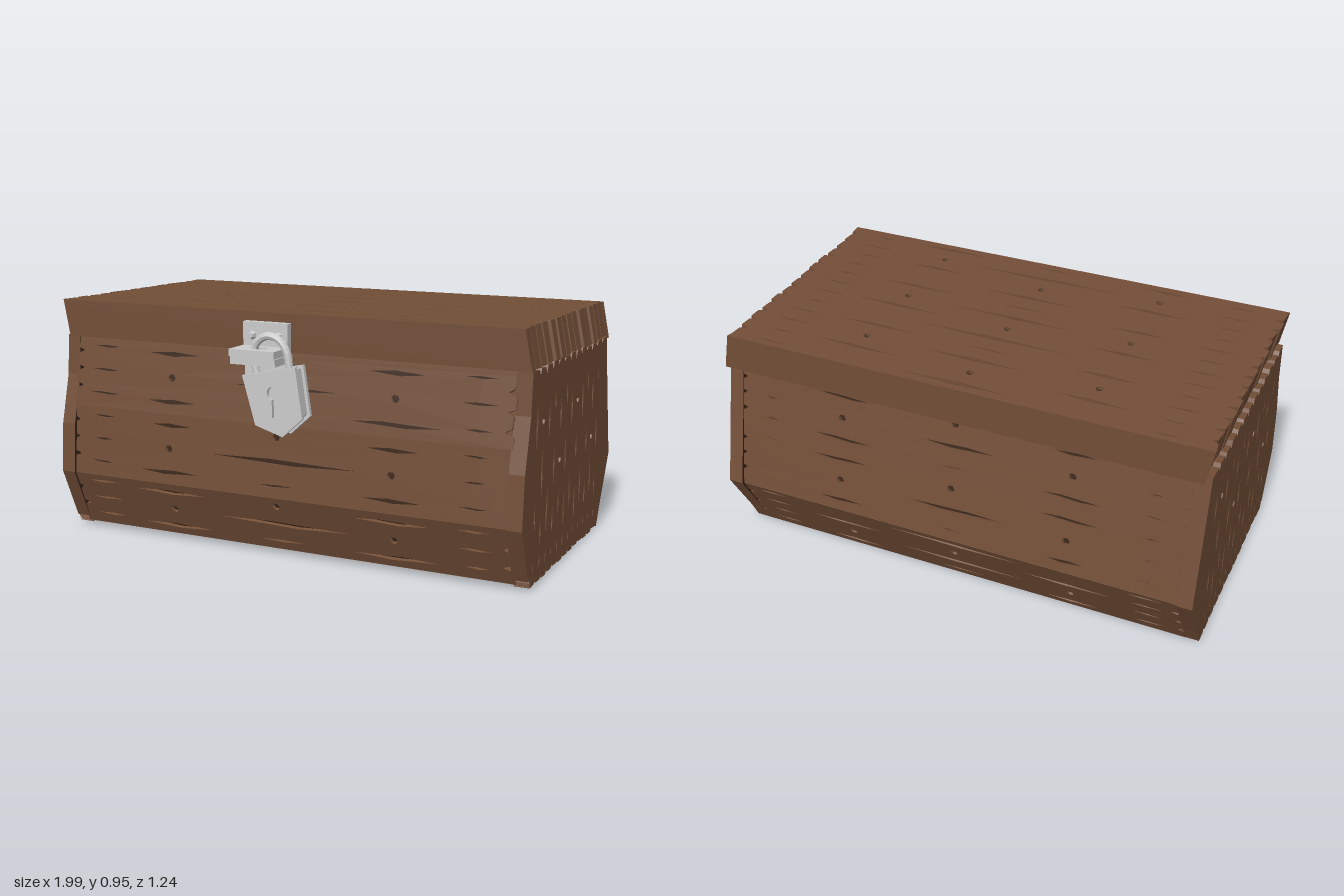
import * as THREE from 'three';

const wood = new THREE.MeshStandardMaterial({ color: 0x724e37, flatShading: true });
const gouge = new THREE.MeshStandardMaterial({ color: 0x3a2619, flatShading: true });
const metal = new THREE.MeshStandardMaterial({ color: 0xcccccc, flatShading: true });
const V = (x, y, z) => new THREE.Vector3(x, y, z);

// Small seeded generator for the worn wood
let seed = 7;
const rnd = () => (seed = (seed * 16807) % 2147483647) / 2147483647;

function extrude(shape, depth, z = 0) {
  const geo = new THREE.ExtrudeGeometry(shape, { depth, bevelEnabled: false, curveSegments: 8 });
  return geo.translate(0, 0, z);
}

function addMesh(parent, name, geo, mat) {
  const mesh = new THREE.Mesh(geo, mat);
  mesh.name = name;
  parent.add(mesh);
  return mesh;
}

// Ragged edge from a to b; the inside of the outline lies to the left
function ragged(a, b, teeth, depth) {
  const dir = b.clone().sub(a);
  const inward = new THREE.Vector2(-dir.y, dir.x).normalize();
  const at = (t, d) => a.clone().addScaledVector(dir, t).addScaledVector(inward, d);
  const pts = [];
  for (let i = 0; i < teeth; i++) {
    const t0 = i / teeth, w = 1 / teeth, lift = rnd() * depth * 0.3;
    pts.push(at(t0 + w * 0.02, i ? lift : 0), at(t0 + w * 0.68, lift * 0.6));
    if (i < teeth - 1) pts.push(at(t0 + w * 0.85, depth * (0.6 + 0.4 * rnd())));
  }
  pts.push(b.clone());
  return pts;
}

// Pointed gouge, length along x or (upright) along y
function slit(x, y, half, thick, upright) {
  const k = (rnd() - 0.5) * half * 0.5;
  const pts = [[-half, 0], [k, -thick], [half, 0], [-k, thick * 0.8]];
  return new THREE.Path(pts.map(([a, b]) =>
    upright ? new THREE.Vector2(x + b, y + a) : new THREE.Vector2(x + a, y + b)));
}

const nailHole = (x, y) => new THREE.Path(Array.from({ length: 6 }, (_, i) =>
  new THREE.Vector2(x + 0.016 * Math.cos(i * Math.PI / 3), y + 0.016 * Math.sin(i * Math.PI / 3))));

// Board with gouges cut into its outer layer; origin and axes place its outer face
function board(parent, name, outline, holes, thick, origin, u, v, n) {
  const group = new THREE.Group();
  group.name = name;
  const m = new THREE.Matrix4().makeBasis(u, v, n).setPosition(origin);
  const face = new THREE.Shape(outline);
  face.holes = holes;
  const skin = 0.014;
  addMesh(group, 'gougedFace', extrude(face, skin, -skin).applyMatrix4(m), wood);
  addMesh(group, 'boardBack', extrude(new THREE.Shape(outline), thick - skin, -thick).applyMatrix4(m), [gouge, wood]);
  parent.add(group);
}

// Lengthwise board between two points of the chest's section
function plank(parent, name, from, to, half, thick, uSign, shear = 0, offset = 0) {
  const u = V(uSign, 0, 0), v = to.clone().sub(from), h = v.length();
  v.normalize();
  const n = u.clone().cross(v).normalize();
  n.x += shear;
  const p = (x, y) => new THREE.Vector2(x, y);
  const teeth = Math.max(3, Math.round(h / 0.075));
  const outline = [
    ...ragged(p(half, 0), p(half, h), teeth, 0.045),
    ...ragged(p(-half, h), p(-half, 0), teeth, 0.045)];
  const rows = Math.max(3, Math.round(h / 0.085)), holes = [];
  for (let i = 0; i < rows; i++) {
    const y = (i + 0.5) * h / rows;
    if (i % 2) {
      holes.push(slit(0.02, y, 0.2 + 0.17 * rnd(), 0.012, false));
      if (i % 4 === 1) holes.push(nailHole(-0.48, y), nailHole(0.48, y));
    } else {
      holes.push(slit(-0.48, y, 0.1 + 0.09 * rnd(), 0.011, false), slit(0.48, y, 0.1 + 0.09 * rnd(), 0.011, false));
      if (i % 4 === 2) holes.push(nailHole(0, y));
      else holes.push(slit(0, y, 0.1, 0.006, false));
    }
    for (const s of [-1, 1]) holes.push(slit(s * 0.8, y + 0.01, 0.05 + 0.03 * rnd(), 0.006, false));
  }
  board(parent, name, outline, holes, thick, from.clone().setX(offset), u, v, n);
}

// End of the chest: upright grain, ragged along the top and bottom
function endPanel(parent, name, side, section) {
  const flat = section.map(([z, y]) => new THREE.Vector2(-side * z, y));
  if (side < 0) flat.reverse();
  const outline = [];
  flat.forEach((a, i) => {
    const b = flat[(i + 1) % flat.length];
    const level = Math.abs(a.y - b.y) < 0.05;
    outline.push(...(level ? ragged(a, b, 13, 0.035) : [a, b]).slice(0, -1));
  });
  const holes = [];
  for (let i = 0; i < 12; i++) {
    const x = -0.41 + i * 0.073;
    const low = i % 2 ? 0.2 : 0.26, high = i % 2 ? 0.42 : 0.6;
    holes.push(slit(x, low, 0.05 + 0.04 * rnd(), 0.01, true), slit(x, high, 0.05 + 0.04 * rnd(), 0.011, true));
    if (i % 3 === 1) holes.push(nailHole(x, i % 2 ? 0.61 : 0.42));
    else if (i % 2) holes.push(slit(x, 0.66, 0.045, 0.007, true));
    holes.push(slit(x, 0.085, 0.025, 0.006, true));
  }
  board(parent, name, outline, holes, 0.06, V(side * 0.99, 0, 0), V(0, 0, -side), V(0, 1, 0), V(side, 0, 0));
}

function buildLock() {
  const lock = new THREE.Group();
  lock.name = 'lock';
  const box = (name, w, h, d, x, y, z) =>
    addMesh(lock, name, new THREE.BoxGeometry(w, h, d), metal).position.set(x, y, z);

  // Hasp: two wall plates with shelves that meet, and their rivets
  box('upperPlate', 0.19, 0.12, 0.03, -0.045, 0.86, 0.5);
  box('lowerPlate', 0.19, 0.1, 0.03, -0.045, 0.73, 0.49);
  for (const [name, y, z] of [['upperShelf', 0.802, 0.485], ['lowerShelf', 0.772, 0.475]]) {
    const plate = new THREE.Shape([[-0.14, 0], [0.05, 0], [0.05, -0.14], [-0.14, -0.14]].map(([a, b]) => new THREE.Vector2(a, b)));
    plate.holes.push(new THREE.Path().absarc(-0.035, z - 0.565, 0.025, 0, Math.PI * 2));
    addMesh(lock, name, extrude(plate, 0.028).rotateX(-Math.PI / 2), metal).position.set(0, y, z);
  }
  for (const x of [-0.1, 0.01]) for (const y of [0.87, 0.73]) {
    const rivet = addMesh(lock, 'rivet', new THREE.CylinderGeometry(0.011, 0.018, 0.016, 6), metal);
    rivet.rotation.x = Math.PI / 2;
    rivet.position.set(x, y, y > 0.8 ? 0.522 : 0.512);
  }

  // Padlock: two outer plates, a recessed middle, a keyhole and a shackle
  const padlock = new THREE.Group();
  padlock.name = 'padlock';
  padlock.position.set(0.035, 0.65, 0.565);
  padlock.rotation.z = 0.2;
  lock.add(padlock);
  const shield = (s) => new THREE.Shape([[-0.112, 0.105], [0.01, -0.145], [0.116, 0.105], [-0.096, -0.088], [0.106, -0.088]]
    .map(([a, b]) => new THREE.Vector2(a * s, b * s)).sort((a, b) => Math.atan2(a.y, a.x) - Math.atan2(b.y, b.x)));
  const front = shield(1);
  const keyhole = new THREE.Path();
  keyhole.absarc(0.005, 0.02, 0.026, -Math.PI * 0.36, Math.PI * 1.36, false);
  keyhole.lineTo(-0.018, -0.07);
  keyhole.lineTo(0.028, -0.07);
  keyhole.closePath();
  front.holes.push(keyhole);
  addMesh(padlock, 'frontPlate', extrude(front, 0.015, 0.025), metal);
  addMesh(padlock, 'middlePlate', extrude(shield(0.9), 0.05, -0.025), metal);
  addMesh(padlock, 'backPlate', extrude(shield(1), 0.015, -0.04), metal);
  const bow = new THREE.CatmullRomCurve3([V(-0.07, 0.08, 0), V(-0.07, 0.17, 0), V(-0.045, 0.215, 0), V(0, 0.233, 0),
    V(0.045, 0.215, 0), V(0.07, 0.17, 0), V(0.07, 0.08, 0)]);
  addMesh(padlock, 'shackle', new THREE.TubeGeometry(bow, 20, 0.015, 8), metal);
  return lock;
}

export function createModel() {
  const chest = new THREE.Group();
  chest.name = 'chest';

  // Section of the body as [z, y], up the front and up the back
  const front = [[0.45, 0.02], [0.54, 0.25], [0.515, 0.53], [0.47, 0.81]];
  const back = [[-0.46, 0], [-0.605, 0.28], [-0.555, 0.54], [-0.5, 0.8]];
  const pt = ([z, y]) => V(0, y, z);

  // Body boards over a solid core
  const body = new THREE.Group();
  body.name = 'body';
  chest.add(body);
  for (let i = 0; i < 3; i++) {
    plank(body, 'frontBoard', pt(front[i]), pt(front[i + 1]), 0.94, 0.04, 1);
    plank(body, 'backBoard', pt(back[i]), pt(back[i + 1]), 0.94, 0.04, -1);
  }
  plank(body, 'bottomBoard', pt(back[0]), pt(front[0]), 0.94, 0.04, 1);
  const ring = [...back, ...front.slice().reverse()];
  const core = new THREE.Shape(ring.map(([z, y]) => new THREE.Vector2(-z * 0.94, 0.4 + (y - 0.4) * 0.93)));
  addMesh(body, 'core', extrude(core, 1.86, -0.93).rotateY(Math.PI / 2), wood);

  // End panels, a little proud of the boards
  const section = [[0.44, 0.01], [-0.46, 0], [-0.5, 0.08], [-0.618, 0.285], [-0.56, 0.54], [-0.505, 0.8],
    [0.475, 0.81], [0.485, 0.65], [0.535, 0.45], [0.55, 0.25], [0.46, 0.04]];
  endPanel(body, 'leftEnd', 1, section);
  endPanel(body, 'rightEnd', -1, section);

  // Thick lid, leaning slightly sideways and backward
  plank(chest, 'lid', V(0, 0.955, 0.485), V(0, 0.937, -0.545), 0.98, 0.148, 1, -0.2, -0.02);

  chest.add(buildLock());
  return chest;
}
